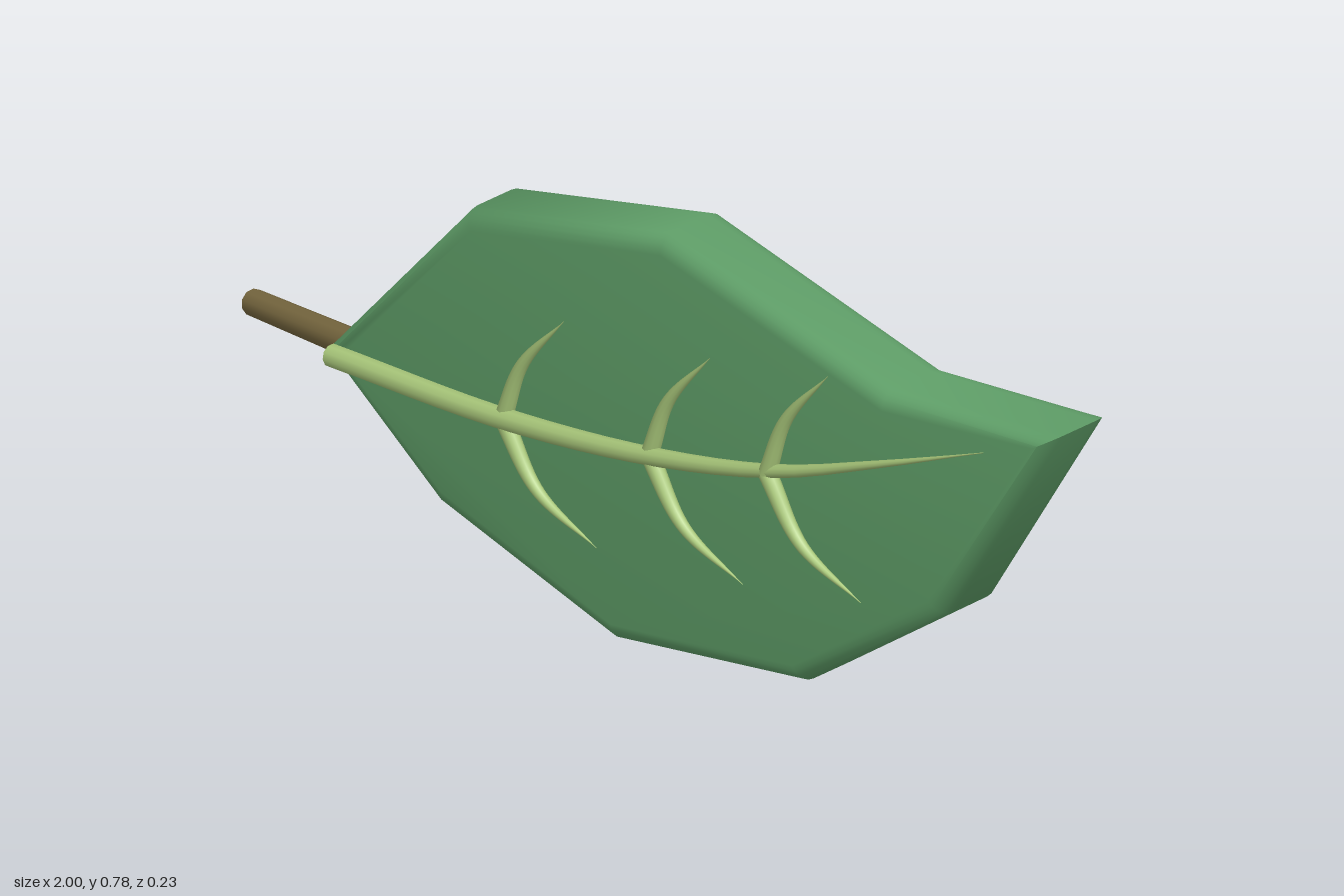
import * as THREE from 'three';
import { toCreasedNormals } from 'three/addons/utils/BufferGeometryUtils.js';

const material = (name, color) => {
  const m = new THREE.MeshStandardMaterial({ color });
  m.name = name;
  return m;
};

// Tube that narrows from its base radius to a point, closed by a disc at the base
function taperedTube(name, points, radius, power, mat) {
  const curve = new THREE.CatmullRomCurve3(points.map(p => new THREE.Vector3(...p)));
  const segments = 24, sides = 10;
  const tube = new THREE.TubeGeometry(curve, segments, radius, sides);
  const pos = tube.attributes.position;
  const v = new THREE.Vector3();
  for (let i = 0; i <= segments; i++) {
    const centre = curve.getPointAt(i / segments);
    const scale = Math.max(0.03, 1 - (i / segments) ** power);
    for (let j = 0; j <= sides; j++) {
      const k = i * (sides + 1) + j;
      v.fromBufferAttribute(pos, k).sub(centre).multiplyScalar(scale).add(centre);
      pos.setXYZ(k, v.x, v.y, v.z);
    }
  }
  const group = new THREE.Group();
  group.name = name;
  const body = new THREE.Mesh(tube, mat);
  body.name = name + 'Body';
  const cap = new THREE.Mesh(new THREE.CircleGeometry(radius, sides), mat);
  cap.name = name + 'Cap';
  cap.position.copy(curve.getPointAt(0));
  cap.quaternion.setFromUnitVectors(new THREE.Vector3(0, 0, 1), curve.getTangentAt(0).negate());
  group.add(body, cap);
  return group;
}

export function createModel() {
  const green = material('leafGreen', 0x62a36b);
  const pale = material('veinGreen', 0xabca7c);
  const brown = material('stemBrown', 0x7a6a41);
  const leaf = new THREE.Group();
  leaf.name = 'leaf';

  // Thick angular blade with rounded rims
  const outline = [
    [-0.665, 0.25], [-0.4, 0.08], [0, 0.003], [0.43, 0.107], [0.75, 0.36],
    [1, 0.78], [0.62, 0.71], [0.11, 0.777], [-0.34, 0.633],
  ].map(p => new THREE.Vector2(...p));
  const bevel = 0.032, half = 0.068;
  const bladeGeo = new THREE.ExtrudeGeometry(new THREE.Shape(outline), {
    depth: 2 * (half - bevel), bevelEnabled: true, bevelThickness: bevel,
    bevelSize: bevel, bevelOffset: -bevel, bevelSegments: 5,
  });
  bladeGeo.translate(0, 0, bevel - half);
  const blade = new THREE.Mesh(toCreasedNormals(bladeGeo, 0.75), green);
  blade.name = 'blade';
  leaf.add(blade);

  // Central rib, bowed slightly forward
  leaf.add(taperedTube('midrib', [
    [-0.62, 0.266, 0.086], [-0.22, 0.323, 0.093], [0.12, 0.398, 0.094],
    [0.4, 0.487, 0.09], [0.62, 0.588, 0.083], [0.86, 0.706, 0.073],
  ], 0.019, 2.2, pale));

  // Three pairs of side veins
  const roots = [[-0.225, 0.32], [0.11, 0.395], [0.38, 0.475]];
  const upper = [[0.04, 0.11], [0.125, 0.22]];
  const lower = [[0.075, -0.1], [0.2, -0.155]];
  roots.forEach(([x, y], i) => {
    for (const [side, [mid, tip]] of [['upper', upper], ['lower', lower]]) {
      leaf.add(taperedTube(`${side}Vein${i + 1}`, [
        [x, y, 0.088], [x + mid[0], y + mid[1], 0.085], [x + tip[0], y + tip[1], 0.075],
      ], 0.015, 1.5, pale));
    }
  });

  // Stem running back and down from the base of the blade
  const from = new THREE.Vector3(-0.995, 0.134, -0.095);
  const to = new THREE.Vector3(-0.54, 0.235, -0.015);
  const stem = new THREE.Mesh(new THREE.CylinderGeometry(0.026, 0.022, from.distanceTo(to), 10), brown);
  stem.name = 'stem';
  stem.position.copy(from).lerp(to, 0.5);
  stem.quaternion.setFromUnitVectors(new THREE.Vector3(0, 1, 0), to.clone().sub(from).normalize());
  leaf.add(stem);

  return leaf;
}
